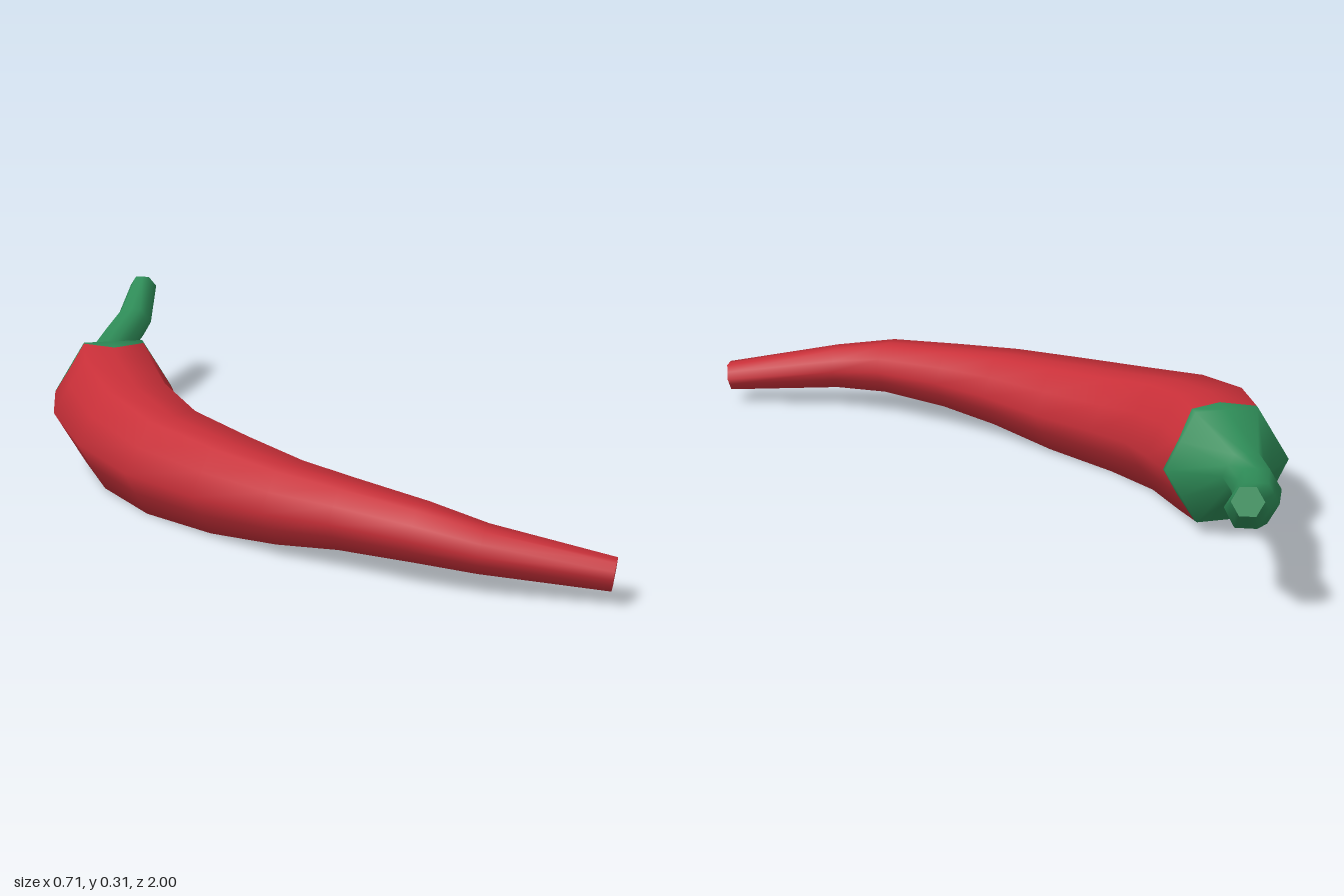
import * as THREE from 'three';

const SIDES = 12; // six corners plus the middle of each edge

// spine from the stem end to the pod tip: [x, y, z, corner radius]
const SPINE = [
  [0.215, 0.281, -0.982, 0.035],
  [0.13, 0.217, -0.88, 0.048],
  [0.035, 0.184, -0.8, 0.05],
  [-0.045, 0.17, -0.708, 0.055],
  [-0.085, 0.173, -0.625, 0.056],
  [-0.115, 0.16, -0.525, 0.147], // shoulder
  [-0.172, 0.15, -0.395, 0.158],
  [-0.213, 0.135, -0.225, 0.148],
  [-0.21, 0.119, -0.045, 0.134],
  [-0.165, 0.115, 0.155, 0.12],
  [-0.115, 0.12, 0.34, 0.1],
  [-0.05, 0.125, 0.485, 0.083],
  [0.03, 0.123, 0.655, 0.07],
  [0.113, 0.107, 0.775, 0.057],
  [0.322, 0.071, 0.968, 0.038],
];
const SHOULDER = 5;

// how far the ragged calyx edge reaches past the shoulder, per side
const CALYX = [0.1, 0.1, 0.2, 0.4, 0.06, 0.08, 0.03, 0.15, 0.1, 0.3, 0.15, 0.25];

// hexagonal cross-sections square to the spine, kept upright
function makeRings() {
  const centres = SPINE.map(([x, y, z]) => new THREE.Vector3(x, y, z));
  const last = centres.length - 1;
  return centres.map((c, i) => {
    const tangent = centres[Math.min(i + 1, last)].clone()
      .sub(centres[Math.max(i - 1, 0)]).normalize();
    const side = new THREE.Vector3(0, 1, 0).cross(tangent).normalize();
    const up = tangent.clone().cross(side);
    const corner = (k) => {
      const a = (k / SIDES) * Math.PI * 2;
      return c.clone().addScaledVector(side, Math.cos(a) * SPINE[i][3])
        .addScaledVector(up, Math.sin(a) * SPINE[i][3]);
    };
    return Array.from({ length: SIDES }, (_, k) => (k % 2 === 0
      ? corner(k)
      : corner(k - 1).lerp(corner(k + 1), 0.5)));
  });
}

// skin triangles between ring numbers from and to
function skinIndex(from, to) {
  const index = [];
  for (let i = from; i < to; i++) {
    for (let k = 0; k < SIDES; k++) {
      const n = (k + 1) % SIDES;
      const a = i * SIDES + k, b = i * SIDES + n;
      index.push(a, b, a + SIDES, b, b + SIDES, a + SIDES);
    }
  }
  return index;
}

// flat disc closing one end
function endCap(ring, facesBack) {
  const centre = ring.reduce((s, p) => s.add(p), new THREE.Vector3()).divideScalar(SIDES);
  const geometry = new THREE.BufferGeometry().setFromPoints([...ring, centre]);
  const index = [];
  for (let k = 0; k < SIDES; k++) {
    const n = (k + 1) % SIDES;
    index.push(SIDES, facesBack ? n : k, facesBack ? k : n);
  }
  geometry.setIndex(index);
  geometry.computeVertexNormals();
  return geometry;
}

export function createModel() {
  const red = new THREE.MeshStandardMaterial({ color: 0xc72f38 });
  red.name = 'pepper red';
  const green = new THREE.MeshStandardMaterial({ color: 0x2e8b57 });
  green.name = 'stem green';

  const group = new THREE.Group();
  group.name = 'chiliPepper';
  const add = (name, geometry, material) => {
    const mesh = new THREE.Mesh(geometry, material);
    mesh.name = name;
    group.add(mesh);
  };

  // insert the ragged colour edge just past the shoulder
  const rings = makeRings();
  const edge = rings[SHOULDER].map((p, k) => p.clone().lerp(rings[SHOULDER + 1][k], CALYX[k]));
  rings.splice(SHOULDER + 1, 0, edge);
  const last = rings.length - 1;

  // one smooth skin, shared by the green and red parts
  const skin = new THREE.BufferGeometry().setFromPoints(rings.flat());
  skin.setIndex(skinIndex(0, last));
  skin.computeVertexNormals();
  const part = (from, to) => skin.clone().setIndex(skinIndex(from, to));

  add('stem', part(0, SHOULDER - 1), green);
  add('calyx', part(SHOULDER - 1, SHOULDER + 1), green);
  add('pod', part(SHOULDER + 1, last), red);
  add('stemEnd', endCap(rings[0], true), green);
  add('podTip', endCap(rings[last], false), red);

  return group;
}
